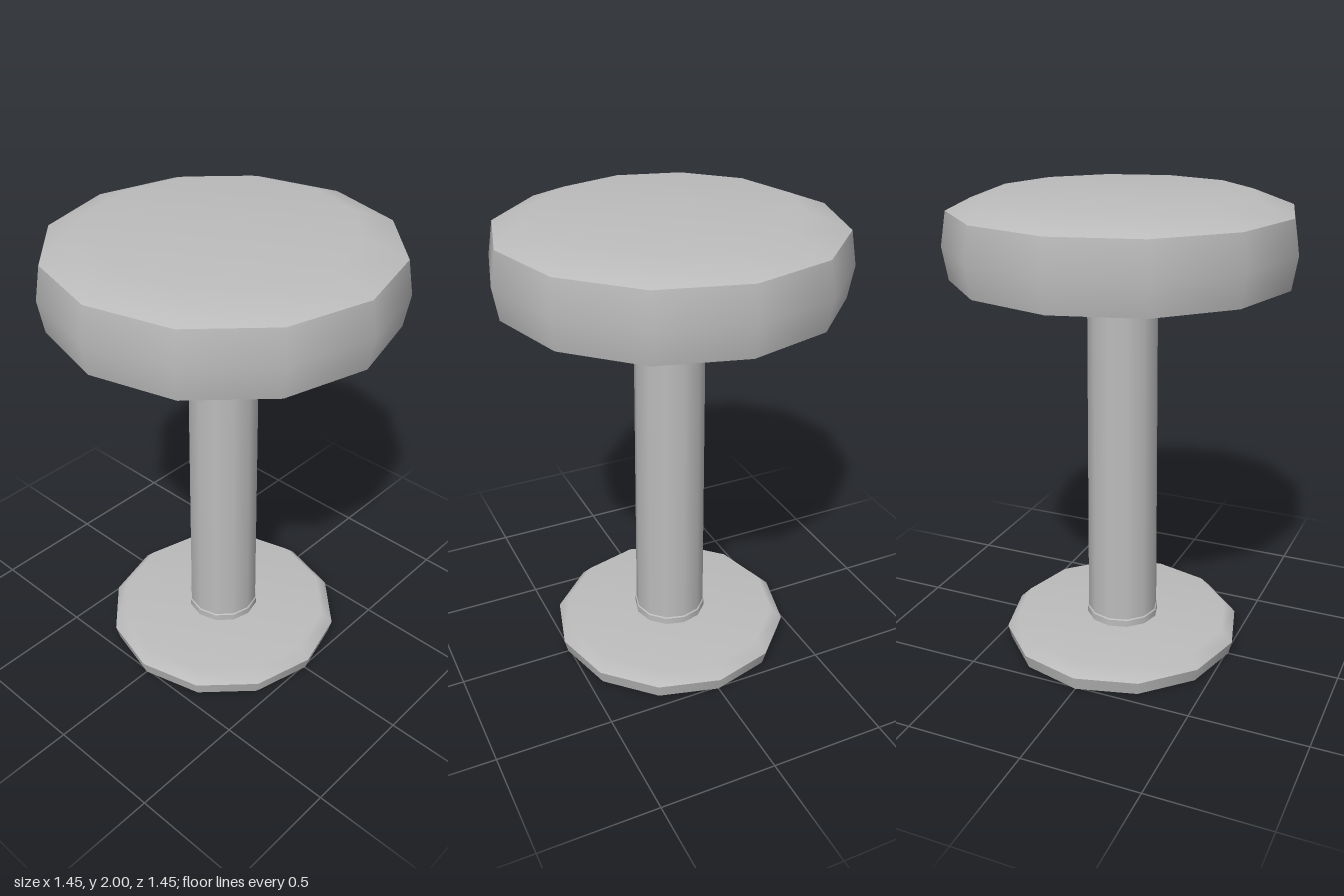
import * as THREE from 'three';
import { mergeGeometries } from 'three/addons/utils/BufferGeometryUtils.js';

const SIDES = 12;

// Revolves several profiles (each listed bottom to top); shading is smooth
// within a profile and creased where one profile meets the next.
function turned(name, material, profiles) {
  const parts = profiles.map((points) =>
    new THREE.LatheGeometry(points.map(([r, y]) => new THREE.Vector2(r, y)), SIDES));
  const mesh = new THREE.Mesh(mergeGeometries(parts), material);
  mesh.name = name;
  return mesh;
}

export function createModel() {
  const stool = new THREE.Group();
  stool.name = 'stool';
  const grey = new THREE.MeshStandardMaterial({ color: 0xbcbcbc });
  grey.name = 'plain grey';

  // Padded round seat: flat underside, bulging rim, softly domed top
  stool.add(turned('seat', grey, [
    [[0, 1.66], [0.70, 1.66]],
    [[0.70, 1.66], [0.723, 1.795], [0.70, 1.935]],
    [[0.70, 1.935], [0.53, 2.0], [0, 2.0]],
  ]));

  // Slightly tapered column
  stool.add(turned('column', grey, [
    [[0.155, 0.13], [0.146, 1.66]],
  ]));

  // Thin collar where the column meets the base
  stool.add(turned('collar', grey, [
    [[0.16, 0.11], [0.16, 0.14]],
    [[0.16, 0.14], [0.15, 0.148]],
  ]));

  // Disc base with a bevelled upper edge
  stool.add(turned('base', grey, [
    [[0, 0], [0.51, 0]],
    [[0.51, 0], [0.525, 0.06]],
    [[0.525, 0.06], [0.475, 0.11], [0, 0.11]],
  ]));

  return stool;
}
